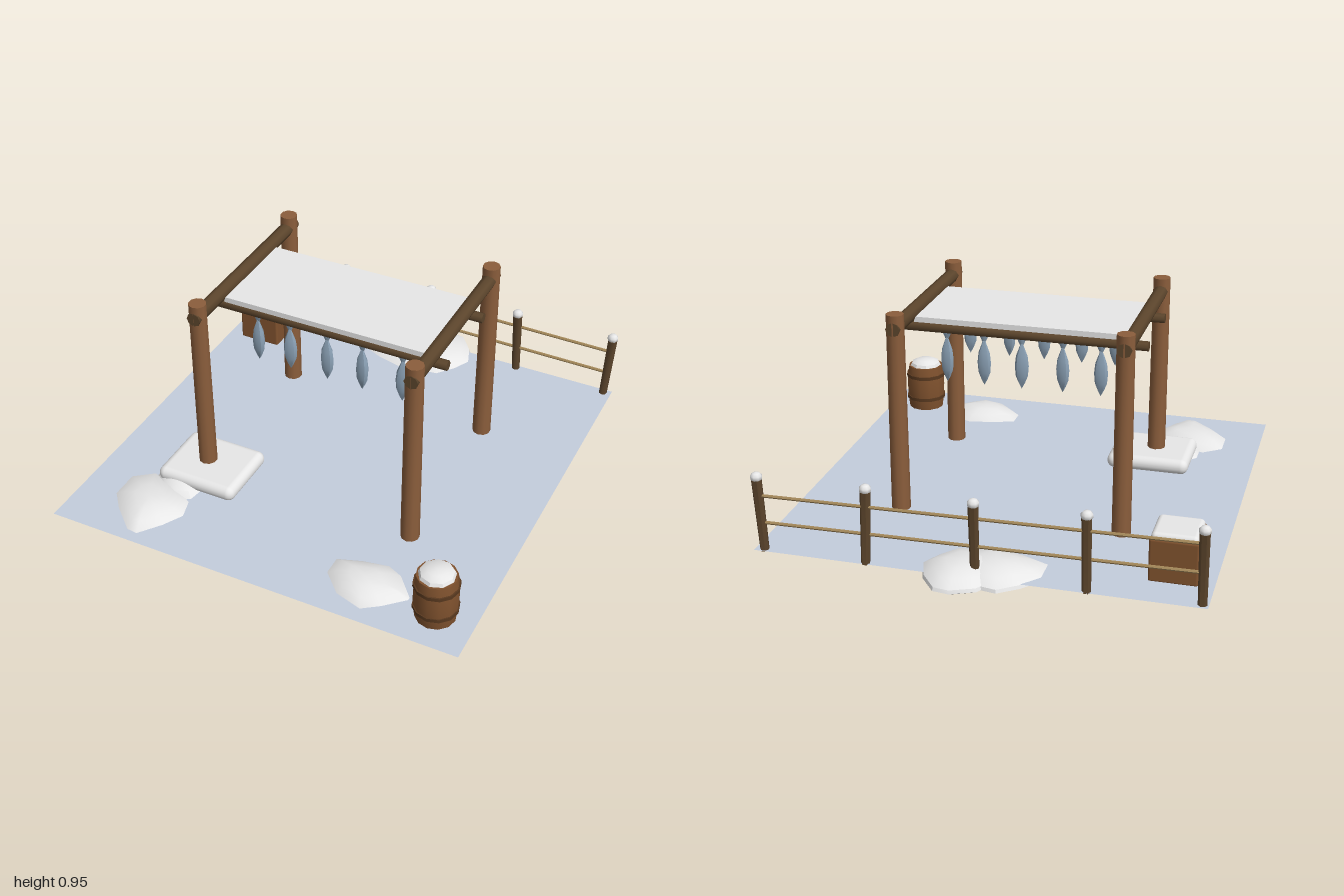
import * as THREE from 'three';
import { RoundedBoxGeometry } from 'three/addons/geometries/RoundedBoxGeometry.js';
import { toCreasedNormals } from 'three/addons/utils/BufferGeometryUtils.js';

const paint = (name, color, side = THREE.FrontSide) => {
  const m = new THREE.MeshStandardMaterial({ color, side });
  m.name = name;
  return m;
};

export function createModel() {
  const group = new THREE.Group();
  const snow = paint('snow', 0xeeeeee);
  const ice = paint('ground ice', 0xc4cddd, THREE.DoubleSide);
  const wood = paint('post wood', 0x8b5e3c);
  const darkWood = paint('dark wood', 0x5c452c);
  const boxWood = paint('crate wood', 0x80522e);
  const band = paint('barrel band', 0x59391f);
  const rope = paint('rope', 0xa68a5b);
  const fishSkin = paint('fish skin', 0x8ba1b5);

  const add = (name, geo, mat, x = 0, y = 0, z = 0, parent = group) => {
    const m = new THREE.Mesh(geo, mat);
    m.name = name;
    m.position.set(x, y, z);
    parent.add(m);
    return m;
  };
  // Round bar between two points
  const bar = (name, a, b, r0, r1, sides, mat) => {
    const p = new THREE.Vector3(...a), q = new THREE.Vector3(...b);
    const d = q.clone().sub(p);
    const geo = toCreasedNormals(new THREE.CylinderGeometry(r1, r0, d.length(), sides), 0.9);
    const m = add(name, geo, mat);
    m.position.copy(p).add(q).multiplyScalar(0.5);
    m.quaternion.setFromUnitVectors(new THREE.Vector3(0, 1, 0), d.normalize());
    return m;
  };

  // Ground sheet
  const BASE = 0.062;
  add('ground', new THREE.PlaneGeometry(1.87, 1.876).rotateX(-Math.PI / 2), ice, 0, 0.067, 0.062);

  // Drying frame: four posts, two side beams, two hanging rails
  for (const x of [-0.487, 0.487]) {
    for (const z of [0.455, -0.338]) bar('framePost', [x, BASE, z], [x, 0.95, z], 0.041, 0.038, 10, wood);
    bar('sideBeam', [x, 0.89, 0.493], [x, 0.89, -0.375], 0.031, 0.031, 8, darkWood);
  }
  const railZ = [0.248, -0.125];
  for (const z of railZ) bar('hangingRail', [-0.542, 0.829, z], [0.542, 0.829, z], 0.022, 0.022, 8, darkWood);
  add('snowRoof', new THREE.BoxGeometry(0.93, 0.024, 0.446), snow, 0, 0.872, 0.058);

  // Hanging fish: spindle body and flared tail
  const bodyGeo = new THREE.LatheGeometry(
    [[0, 0.588], [0.014, 0.615], [0.026, 0.645], [0.03, 0.69], [0.025, 0.735], [0.006, 0.787], [0, 0.789]]
      .map(([r, y]) => new THREE.Vector2(r, y)), 8).scale(1, 1, 0.7);
  const body = toCreasedNormals(bodyGeo, 0.7);
  const tail = new THREE.CylinderGeometry(0.022, 0.005, 0.034, 6).scale(1, 1, 0.3);
  const fishX = [[-0.325, -0.173, 0, 0.162, 0.345], [-0.342, -0.177, 0.002, 0.168, 0.333]];
  railZ.forEach((z, row) => fishX[row].forEach((x, i) => {
    const fish = new THREE.Group();
    fish.name = 'fish';
    fish.position.set(x, 0, z);
    fish.rotation.y = ((i * 2 + row) % 3 - 1) * 0.15;
    add('fishBody', body, fishSkin, 0, 0, 0, fish);
    add('fishTail', tail, fishSkin, 0, 0.795, 0, fish);
    group.add(fish);
  }));

  // Fence: leaning posts with snow caps and two sloping ropes
  const lean = [[0.002, -0.008], [0.006, 0.012], [0, -0.012], [-0.005, 0.014], [0.018, 0.004]];
  lean.forEach(([dx, dz], i) => {
    const x = -0.909 + i * 0.4535, z = -0.852;
    bar('fencePost', [x - dx / 2, BASE, z - dz / 2], [x + dx / 2, 0.375, z + dz / 2], 0.019, 0.022, 7, darkWood);
    add('fenceCap', new THREE.SphereGeometry(0.026, 8, 5).scale(1, 0.85, 1), snow, x + dx / 2, 0.386, z + dz / 2);
  });
  bar('upperRope', [-0.91, 0.33, -0.853], [0.91, 0.306, -0.853], 0.007, 0.007, 6, rope);
  bar('lowerRope', [-0.91, 0.208, -0.853], [0.91, 0.187, -0.853], 0.007, 0.007, 6, rope);

  // Crate with side handles and a snow top
  const cx = -0.77, cz = -0.614;
  add('crate', new RoundedBoxGeometry(0.2, 0.188, 0.2, 2, 0.01), boxWood, cx, 0.156, cz);
  add('crateSnow', new RoundedBoxGeometry(0.19, 0.042, 0.19, 3, 0.02), snow, cx, 0.253, cz);
  for (const s of [-1, 1]) add('crateHandle', new THREE.BoxGeometry(0.008, 0.08, 0.038), band, cx + s * 0.103, 0.155, cz);

  // Barrel with two hoops and a snow dome
  const bx = 0.766, bz = 0.828;
  const staves = new THREE.LatheGeometry(
    [[0, BASE], [0.084, BASE], [0.091, 0.12], [0.093, 0.173], [0.091, 0.235], [0.084, 0.284], [0, 0.284]]
      .map(([r, y]) => new THREE.Vector2(r, y)), 12);
  add('barrel', toCreasedNormals(staves, 0.8), boxWood, bx, 0, bz);
  for (const y of [0.122, 0.236]) add('barrelHoop', new THREE.CylinderGeometry(0.096, 0.096, 0.016, 12), band, bx, y, bz);
  const dome = new THREE.LatheGeometry(
    [[0, 0.28], [0.077, 0.284], [0.07, 0.298], [0.042, 0.312], [0, 0.316]].map(([r, y]) => new THREE.Vector2(r, y)), 9);
  add('barrelSnow', toCreasedNormals(dome, 0.6), snow, bx, 0, bz);

  // Snow slab round the front post
  add('snowSlab', new RoundedBoxGeometry(0.374, 0.07, 0.318, 4, 0.034), snow, -0.47, 0.097, 0.456);

  // Snow mound: an outline of (x, z) points scaled through a lens profile of (scale, height)
  const profile = [[0, 0.003], [0.35, 0.008], [0.75, 0.028], [1, 0.052], [0.97, 0.066], [0.72, 0.092], [0.4, 0.108], [0, 0.112]];
  const mound = (name, outline, [ox, oz], h = 1) => {
    const n = outline.length, pos = [], idx = [];
    for (const [s, y] of profile)
      for (const [x, z] of outline) pos.push(ox + (x - ox) * s, y * h, oz + (z - oz) * s);
    for (let r = 0; r < profile.length - 1; r++)
      for (let i = 0; i < n; i++) {
        const a = r * n + i, b = r * n + (i + 1) % n;
        idx.push(a, b, a + n, b, b + n, a + n);
      }
    const geo = new THREE.BufferGeometry();
    geo.setAttribute('position', new THREE.Float32BufferAttribute(pos, 3));
    geo.setIndex(idx);
    geo.computeVertexNormals();
    add(name, toCreasedNormals(geo, 0.6), snow);
  };
  // Outlines run from the left edge by the front to the right and back
  mound('frontRightMound', [[0.268, 0.715], [0.268, 0.805], [0.36, 0.9], [0.485, 0.938], [0.56, 0.885],
    [0.645, 0.805], [0.645, 0.79], [0.56, 0.69], [0.49, 0.657], [0.375, 0.678]], [0.44, 0.795]);
  mound('frontLeftMound', [[-0.775, 0.64], [-0.775, 0.77], [-0.71, 0.85], [-0.6, 0.95], [-0.55, 0.957],
    [-0.475, 0.86], [-0.425, 0.77], [-0.45, 0.68], [-0.56, 0.61], [-0.69, 0.575]], [-0.6, 0.765]);
  mound('smallLeftMound', [[-0.678, 0.51], [-0.678, 0.59], [-0.62, 0.67], [-0.53, 0.7], [-0.45, 0.67],
    [-0.435, 0.58], [-0.46, 0.47], [-0.53, 0.425], [-0.63, 0.45]], [-0.56, 0.565], 0.95);
  mound('backLeftMound', [[-0.268, -0.8], [-0.268, -0.685], [-0.18, -0.645], [-0.005, -0.598], [0.05, -0.625],
    [0.12, -0.72], [0.09, -0.86], [0.0, -0.925], [-0.115, -0.945], [-0.195, -0.885]], [-0.07, -0.77]);
  mound('backRightMound', [[-0.13, -0.8], [-0.09, -0.69], [0.03, -0.63], [0.13, -0.64], [0.195, -0.72],
    [0.235, -0.8], [0.2, -0.9], [0.13, -0.99], [0.06, -1], [-0.04, -0.955]], [0.06, -0.815], 1.02);

  return group;
}
